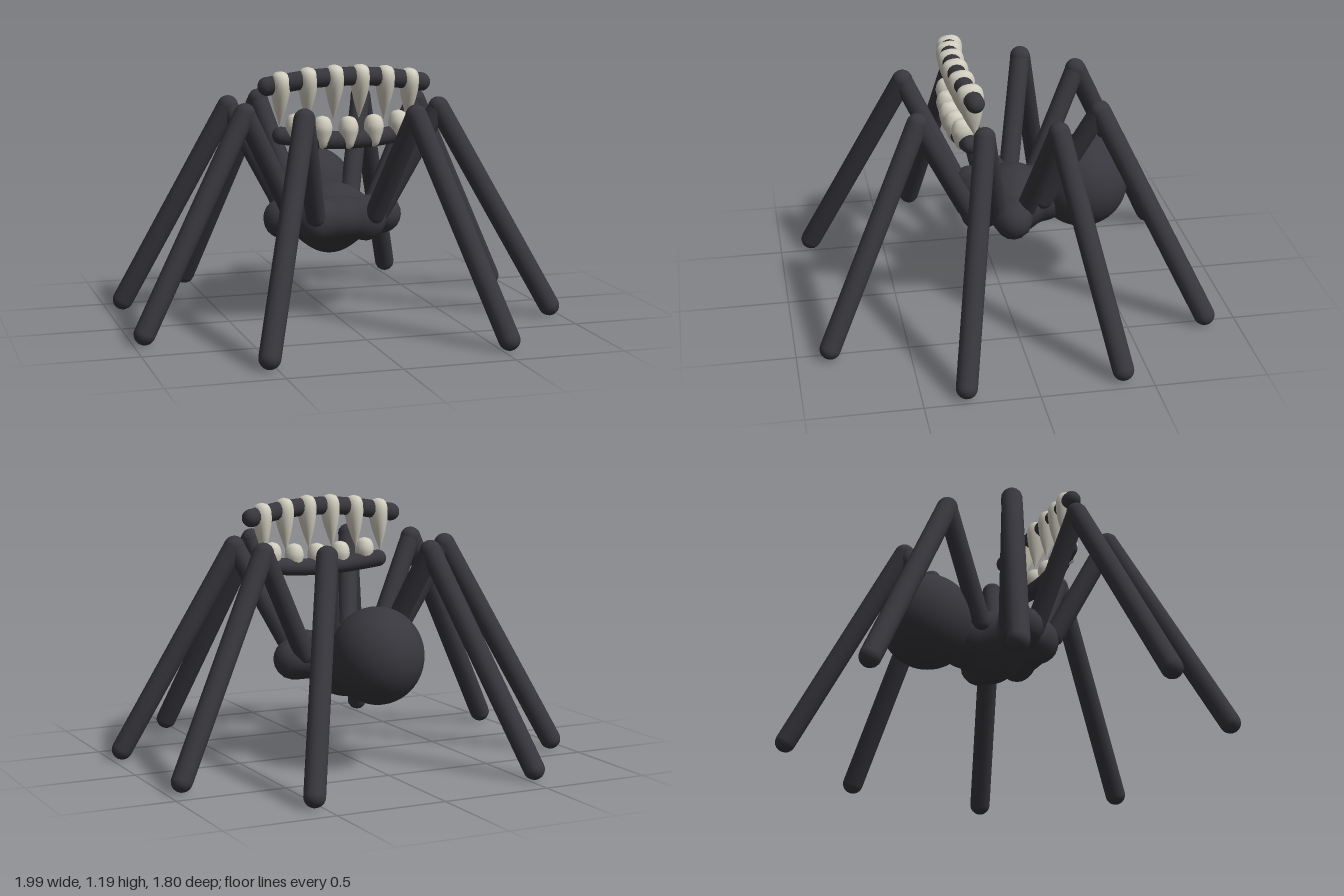
import * as THREE from 'three';

const V = (x, y, z) => new THREE.Vector3(x, y, z);
const hide = new THREE.MeshStandardMaterial({ color: 0x37373d });
hide.name = 'charcoal';
const ivory = new THREE.MeshStandardMaterial({ color: 0xd0ccbe });
ivory.name = 'ivory';

function add(parent, name, geometry, material) {
  const mesh = new THREE.Mesh(geometry, material);
  mesh.name = name;
  parent.add(mesh);
  return mesh;
}

// Round-ended rod between two points
function rod(parent, name, a, b, r) {
  const dir = b.clone().sub(a);
  const mesh = add(parent, name, new THREE.CapsuleGeometry(r, dir.length(), 6, 14), hide);
  mesh.position.copy(a).add(b).multiplyScalar(0.5);
  mesh.quaternion.setFromUnitVectors(V(0, 1, 0), dir.normalize());
}

// Thorax lobes as [centre, radii]; mirrored lobes carry the hips
const lobes = [
  [V(0, 0.46, -0.06), V(0.2, 0.15, 0.15)],
  [V(0, 0.445, -0.07), V(0.15, 0.16, 0.13)],
  [V(0, 0.47, 0.09), V(0.16, 0.1, 0.11)],
  [V(0, 0.47, -0.2), V(0.14, 0.13, 0.12)],
];
for (const s of [-1, 1]) {
  lobes.push([V(s * 0.235, 0.465, -0.02), V(0.095, 0.095, 0.09)]);
  lobes.push([V(s * 0.12, 0.47, 0.12), V(0.09, 0.1, 0.085)]);
}

// Smooth union of the lobes
function field(p) {
  let sum = 0;
  for (const [c, r] of lobes) {
    const q = p.clone().sub(c).divide(r).length();
    const d = (q - 1) * Math.min(r.x, r.y, r.z);
    sum += Math.exp(-d / 0.012);
  }
  return -0.012 * Math.log(sum + 1e-30);
}

// Sphere pushed out along its rays until it meets the blended lobes
function thoraxGeometry() {
  const geo = new THREE.SphereGeometry(1, 56, 36);
  const pos = geo.attributes.position;
  const centre = V(0, 0.46, -0.02);
  const dir = V(0, 0, 0);
  for (let i = 0; i < pos.count; i++) {
    dir.fromBufferAttribute(pos, i).normalize();
    let lo = 0, hi = 0.5;
    for (let k = 0; k < 18; k++) {
      const mid = (lo + hi) / 2;
      if (field(centre.clone().addScaledVector(dir, mid)) < 0) lo = mid;
      else hi = mid;
    }
    pos.setXYZ(i, centre.x + dir.x * lo, centre.y + dir.y * lo, centre.z + dir.z * lo);
  }
  geo.computeVertexNormals();
  return geo;
}

// Curved gum with rounded ends
function gum(parent, name, curve, r) {
  add(parent, name, new THREE.TubeGeometry(curve, 32, r, 14), hide);
  for (const t of [0, 1]) {
    add(parent, name + 'End', new THREE.SphereGeometry(r, 14, 10), hide)
      .position.copy(curve.getPoint(t));
  }
}

// Lathed tooth with its origin on the gum line
function tooth(parent, name, profile, at, tilt, depth) {
  const points = new THREE.SplineCurve(profile.map(([r, y]) => new THREE.Vector2(r, y)))
    .getPoints(18).map(p => new THREE.Vector2(Math.max(p.x, 0), p.y));
  const mesh = add(parent, name, new THREE.LatheGeometry(points, 16), ivory);
  mesh.position.copy(at);
  mesh.rotation.x = tilt;
  mesh.scale.z = depth;
}

export function createModel() {
  const model = new THREE.Group();
  model.name = 'spider';

  // Body
  add(model, 'thorax', thoraxGeometry(), hide);
  const abdomen = add(model, 'abdomen', new THREE.SphereGeometry(1, 40, 28), hide);
  abdomen.scale.set(0.207, 0.218, 0.215);
  abdomen.position.set(0, 0.52, -0.387);

  // Legs: hip, knee, foot
  const legs = [
    ['frontLeg', V(0.14, 0.5, 0.18), V(0.255, 0.975, 0.41), V(0.53, 0.05, 0.85)],
    ['frontSideLeg', V(0.21, 0.49, 0.05), V(0.455, 0.975, 0.145), V(0.95, 0.05, 0.31)],
    ['backSideLeg', V(0.21, 0.49, -0.08), V(0.455, 0.975, -0.18), V(0.925, 0.05, -0.375)],
    ['backLeg', V(0.13, 0.5, -0.18), V(0.255, 0.975, -0.405), V(0.53, 0.05, -0.85)],
  ];
  for (const s of [1, -1]) {
    for (const [name, ...joints] of legs) {
      const leg = new THREE.Group();
      leg.name = (s > 0 ? 'left_' : 'right_') + name;
      const [hip, knee, foot] = joints.map(p => V(p.x * s, p.y, p.z));
      rod(leg, 'upperLeg', hip, knee, 0.046);
      rod(leg, 'lowerLeg', knee, foot, 0.048);
      model.add(leg);
    }
  }

  // Floating jaws
  const upper = new THREE.Group();
  upper.name = 'upperJaw';
  const upperY = x => 1.135 - 0.3 * x * x;
  const upperZ = x => 0.212 - 0.32 * x * x;
  const lower = new THREE.Group();
  lower.name = 'lowerJaw';
  const lowerY = x => 0.85 + 0.3 * x * x;
  const lowerZ = x => 0.215 - 0.35 * x * x;
  const arc = (half, fy, fz) => new THREE.CatmullRomCurve3(
    [-1, -0.5, 0, 0.5, 1].map(t => V(t * half, fy(t * half), fz(t * half))));
  gum(upper, 'upperGum', arc(0.36, upperY, upperZ), 0.042);
  gum(lower, 'lowerGum', arc(0.3, lowerY, lowerZ), 0.04);

  // Upper fangs point down; lower teeth have broad, rounded tops
  const fang = [[0, 0.055], [0.03, 0.043], [0.042, 0.01], [0.04, -0.04], [0.026, -0.11], [0, -0.195]];
  for (let i = 0; i < 6; i++) {
    const x = -0.3 + i * 0.12;
    tooth(upper, 'upperTooth', fang, V(x, upperY(x), upperZ(x)), 0.12, 1.4);
  }
  const stub = [[0, 0.11], [0.03, 0.098], [0.044, 0.06], [0.038, 0.02], [0.024, -0.025], [0, -0.04]];
  for (let i = 0; i < 5; i++) {
    const x = -0.24 + i * 0.12;
    tooth(lower, 'lowerTooth', stub, V(x, lowerY(x), lowerZ(x) + 0.012), 0, 1.15);
  }
  // Lathe profiles run from top to bottom, so both sides are drawn
  ivory.side = THREE.DoubleSide;
  model.add(upper, lower);
  return model;
}
